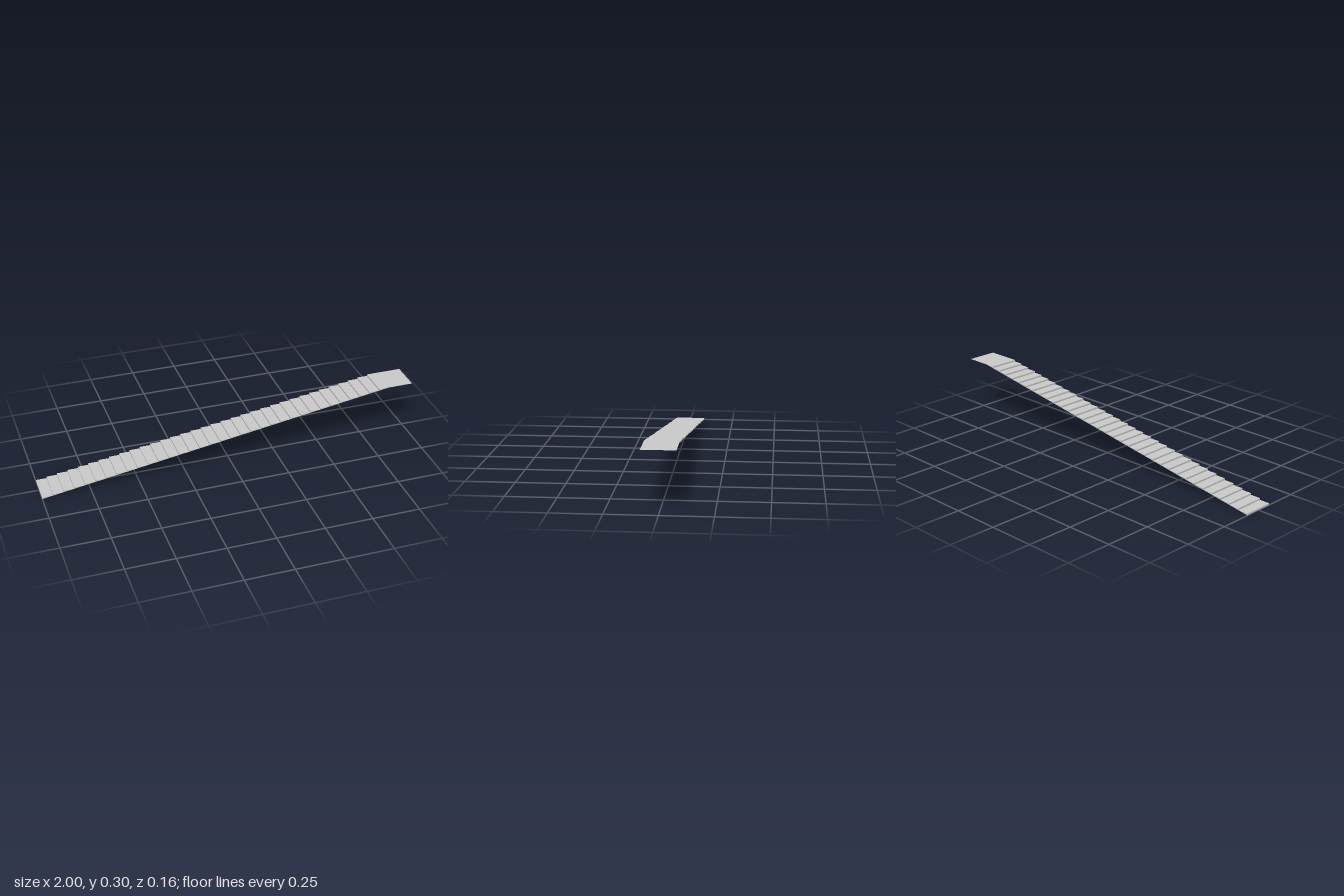
import * as THREE from 'three';

const WIDTH = 0.163;
const HEIGHT = 0.3;
const START = -1;
const RAMP_END = 0.866;
const STEPS = 34;

export function createModel() {
  const model = new THREE.Group();
  model.name = 'longStaircase';
  const material = new THREE.MeshStandardMaterial({ color: 0xcccccc, flatShading: true, side: THREE.DoubleSide });

  // Wedge-shaped step: upright riser, level tread, sloping underside
  const tread = (RAMP_END - START) / STEPS;
  const rise = HEIGHT / STEPS;
  const profile = new THREE.Shape([
    new THREE.Vector2(0, 0),
    new THREE.Vector2(tread, rise),
    new THREE.Vector2(0, rise),
  ]);
  const stepGeometry = new THREE.ExtrudeGeometry(profile, { depth: WIDTH, bevelEnabled: false });
  stepGeometry.translate(0, 0, -WIDTH / 2);

  // Flight of steps climbing towards +x
  const flight = new THREE.Group();
  flight.name = 'flight';
  for (let i = 0; i < STEPS; i++) {
    const step = new THREE.Mesh(stepGeometry, material);
    step.name = `step${i + 1}`;
    step.position.set(START + i * tread, i * rise, 0);
    flight.add(step);
  }
  model.add(flight);

  // Thin level landing at the top
  const landingGeometry = new THREE.PlaneGeometry(1 - RAMP_END, WIDTH);
  landingGeometry.rotateX(-Math.PI / 2);
  const landing = new THREE.Mesh(landingGeometry, material);
  landing.name = 'landing';
  landing.position.set((1 + RAMP_END) / 2, HEIGHT, 0);
  model.add(landing);

  return model;
}
